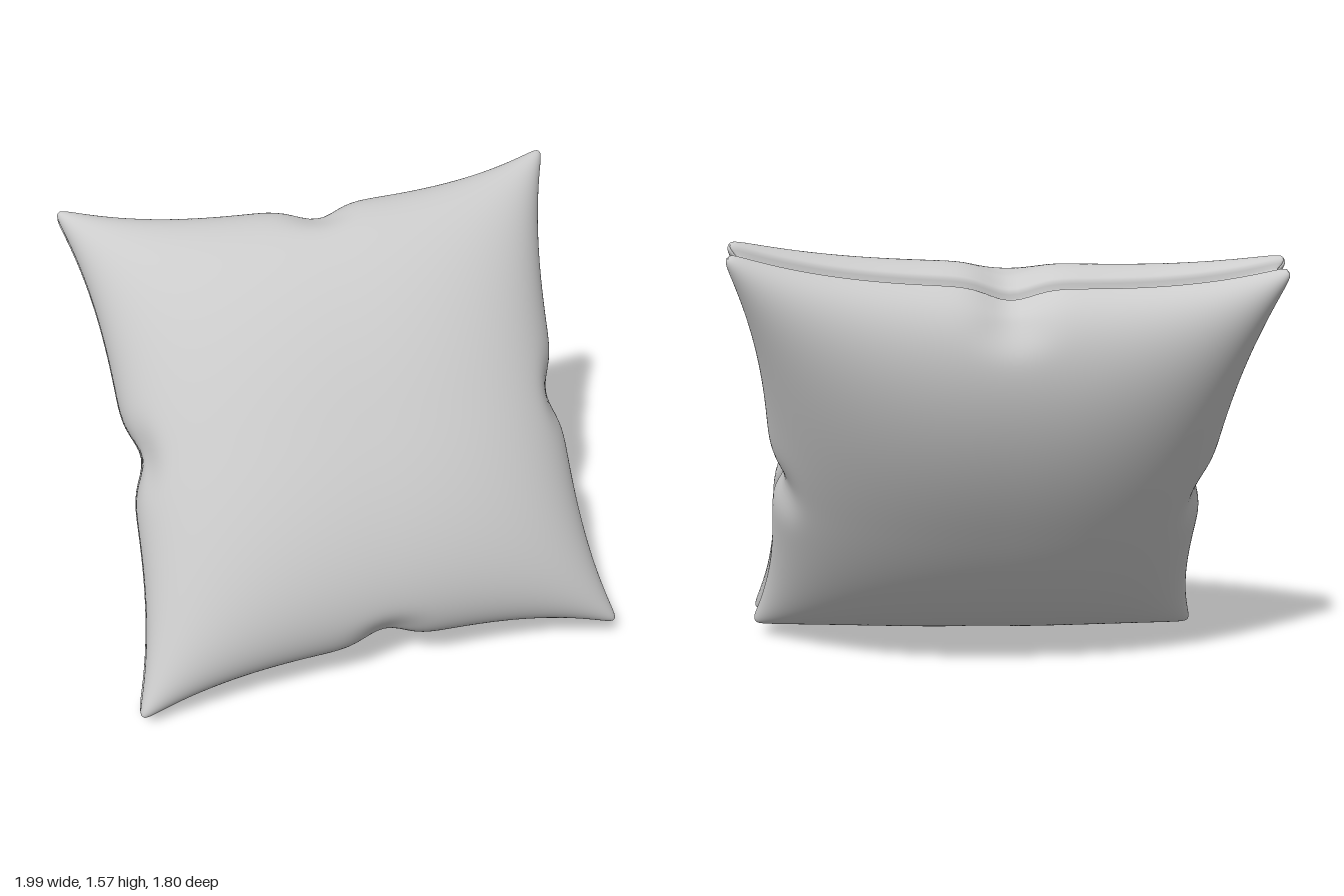
import * as THREE from 'three';

const HALF = 0.895;   // centre to corner, along each side
const PUFF = 0.345;   // height of a panel's middle over the seam band
const LIP = 0.036;    // half width of the seam band
const SEG = 100;

const bump = (x, width) => Math.exp(-((x / width) ** 2));

// Distance of a side from the centre: bowed inwards, with a pinch at its middle
function reach(a, b) {
  const bow = 0.115 * (1 - Math.abs(b) ** 3);
  const pinch = 0.05 * bump(b, 0.11) * Math.abs(a) ** 14;
  return HALF - bow - pinch;
}

// Maps a, b in [-1, 1] to the cushion's flat outline, with blunt corners
function outline(a, b) {
  const blunt = 1 - 0.028 * Math.abs(a * b) ** 40;
  return [a * reach(a, b) * blunt, b * reach(b, a) * blunt];
}

// Height of the stuffed panel over the seam, dented beside each pinch
function puff(a, b) {
  const full = (t) => Math.max(0, 1 - Math.abs(t) ** 2.4) ** 0.46;
  const dent = bump(Math.abs(a) - 0.96, 0.06) * bump(b, 0.11)
    + bump(Math.abs(b) - 0.96, 0.06) * bump(a, 0.11);
  return PUFF * full(a) * full(b) * (1 - 0.25 * dent);
}

// Grid spacing gets finer towards the rounded edges
const ease = (t) => Math.sin(t * Math.PI / 2);

function panelGeometry(side) {
  const geo = new THREE.PlaneGeometry(2, 2, SEG, SEG);
  const pos = geo.attributes.position;
  for (let i = 0; i < pos.count; i++) {
    const a = ease(pos.getX(i)) * side, b = ease(pos.getY(i));
    const [u, v] = outline(a, b);
    pos.setXYZ(i, u, v, side * (LIP + puff(a, b)));
  }
  geo.computeVertexNormals();
  return geo;
}

// Two rounded lips with a soft groove between them, swept round the outline
function seamGeometry() {
  const profile = [[0, 1], [0, 0.8], [-0.003, 0.6], [-0.01, 0.4], [-0.021, 0.2], [-0.026, 0],
    [-0.021, -0.2], [-0.01, -0.4], [-0.003, -0.6], [0, -0.8], [0, -1]];
  const ring = [];
  for (let s = 0; s < 4; s++) {
    for (let i = 0; i < SEG; i++) {
      const t = ease(-1 + 2 * i / SEG);
      ring.push([[1, t], [-t, 1], [-1, -t], [t, -1]][s]);
    }
  }
  const points = [], index = [], P = profile.length;
  ring.forEach(([a, b], i) => {
    const [u, v] = outline(a, b);
    const next = (i + 1) % ring.length;
    profile.forEach(([out, n], j) => {
      // Offset only across the side; at corners both directions blend in
      points.push(u + out * Math.sign(a) * Math.abs(a) ** 12,
        v + out * Math.sign(b) * Math.abs(b) ** 12, n * LIP);
      if (j < P - 1) {
        const p = i * P + j, q = next * P + j;
        index.push(p, p + 1, q, q, p + 1, q + 1);
      }
    });
  });
  const geo = new THREE.BufferGeometry();
  geo.setAttribute('position', new THREE.Float32BufferAttribute(points, 3));
  geo.setIndex(index);
  geo.computeVertexNormals();
  return geo;
}

export function createModel() {
  const model = new THREE.Group();
  model.name = 'cushion';
  const material = new THREE.MeshStandardMaterial({ color: 0xcccccc, side: THREE.DoubleSide });

  const parts = { frontPanel: panelGeometry(1), backPanel: panelGeometry(-1), seam: seamGeometry() };
  const body = new THREE.Group();
  body.name = 'cushionBody';
  for (const [name, geo] of Object.entries(parts)) {
    const mesh = new THREE.Mesh(geo, material);
    mesh.name = name;
    body.add(mesh);
  }

  // Tip the cushion back and turn it, resting on one corner
  const across = new THREE.Vector3(0.862, 0.029, 0.508).normalize();
  const up = new THREE.Vector3(0.251, 0.837, -0.486);
  const facing = across.clone().cross(up).normalize();
  up.crossVectors(facing, across);
  body.quaternion.setFromRotationMatrix(new THREE.Matrix4().makeBasis(across, up, facing));
  body.position.y = 0.785;
  model.add(body);
  return model;
}
